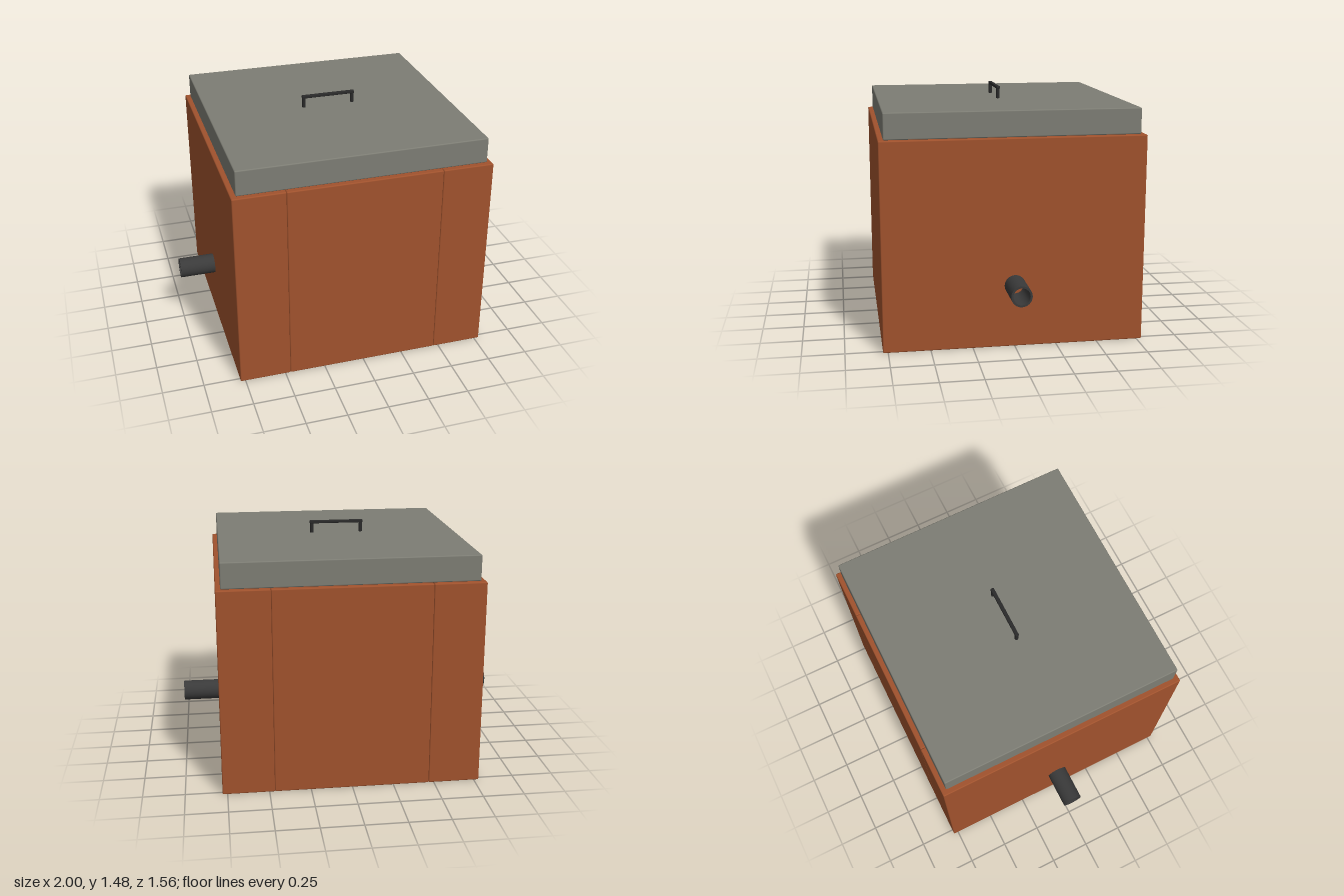
import * as THREE from 'three';
import { RoundedBoxGeometry } from 'three/addons/geometries/RoundedBoxGeometry.js';

function material(name, color, side = THREE.FrontSide) {
  const m = new THREE.MeshStandardMaterial({ color, side });
  m.name = name;
  return m;
}

export function createModel() {
  const model = new THREE.Group();
  model.name = 'tank';
  const brown = material('brownWall', 0xa0522d);
  const grey = material('greySlab', 0x7d7d74);
  const pipeGrey = material('darkPipe', 0x3a3a3a);
  const black = material('blackHandle', 0x2a2a2a);

  function add(name, geometry, mat, x, y, z, parent = model) {
    const mesh = new THREE.Mesh(geometry, mat);
    mesh.name = name;
    mesh.position.set(x, y, z);
    parent.add(mesh);
    return mesh;
  }
  // Box with slightly eased edges
  const slab = (w, h, d, r = 0.007) => new RoundedBoxGeometry(w, h, d, 2, r);

  const H = 1.25, half = 0.78, inner = 0.468;
  const thick = half - inner, mid = (half + inner) / 2;

  // Hollow pipe stub: closed profile turned around its axis
  const pipeProfile = [[0.05, 0], [0.05, 0.24], [0.062, 0.24], [0.062, 0], [0.05, 0]]
    .map(([r, y]) => new THREE.Vector2(r, y)).reverse();
  // Separate lathes per profile segment keep the rim sharp
  const pipeSegments = pipeProfile.slice(1)
    .map((p, i) => new THREE.LatheGeometry([pipeProfile[i], p], 32));
  pipeGrey.side = THREE.DoubleSide;

  for (const s of [1, -1]) {
    const label = s > 0 ? 'left' : 'right';
    // Full-depth side walls, with front and back panels between them
    add(label + 'Wall', slab(thick, H, half * 2), brown, s * mid, H / 2, 0);
    add(s > 0 ? 'frontWall' : 'backWall', slab(inner * 2, H, thick), brown, 0, H / 2, s * mid);

    const pipe = new THREE.Group();
    pipe.name = label + 'Pipe';
    pipe.position.set(s * 0.76, 0.377, 0);
    pipe.rotation.z = -s * Math.PI / 2;
    for (const g of pipeSegments) add('pipeSurface', g, pipeGrey, 0, 0, 0, pipe);
    model.add(pipe);
  }

  // Floor between the walls and the lid on top
  add('floor', new THREE.BoxGeometry(inner * 2, 0.15, inner * 2), grey, 0, 0.077, 0);
  add('lid', slab(1.5, 0.155, 1.5), grey, 0, H + 0.0775, 0);

  // Lid handle: two posts and a bar
  const handle = new THREE.Group();
  handle.name = 'handle';
  model.add(handle);
  for (const s of [1, -1]) {
    add('handlePost', new THREE.CylinderGeometry(0.011, 0.011, 0.07, 16), black, s * 0.155, 1.435, 0, handle);
  }
  add('handleBar', slab(0.335, 0.018, 0.022, 0.004), black, 0, 1.472, 0, handle);

  return model;
}
